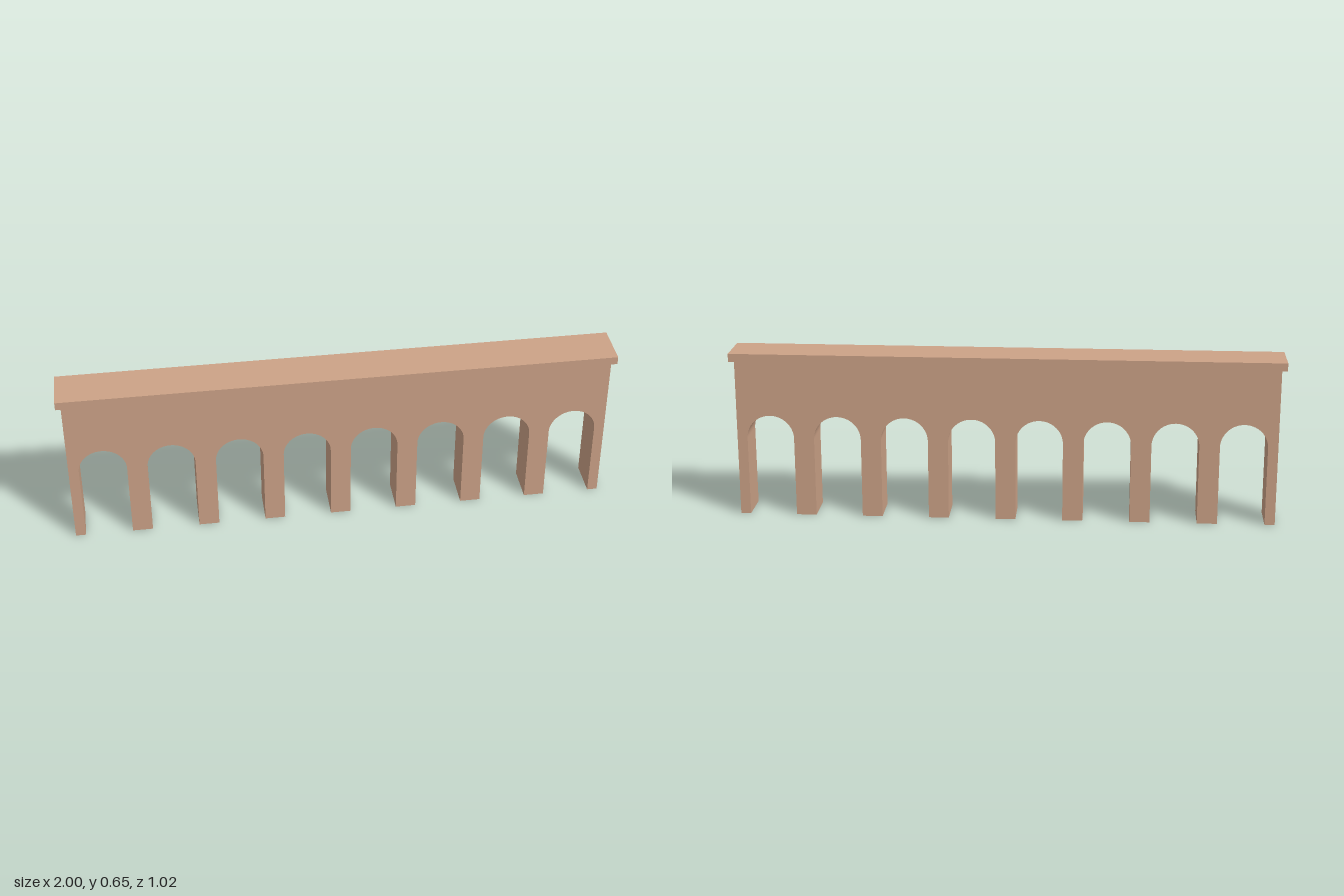
import * as THREE from 'three';

const BAYS = 8, LENGTH = 2.074, DEPTH = 0.142, HEIGHT = 0.616;
const BAY = LENGTH / BAYS, RADIUS = BAY * 0.35, SPRING = 0.4 - RADIUS;

// Wall outline: arched openings cut upward from the ground line
function arcadeShape() {
  const s = new THREE.Shape();
  s.moveTo(-LENGTH / 2, 0);
  for (let i = 0; i < BAYS; i++) {
    const cx = -LENGTH / 2 + BAY * (i + 0.5);
    s.lineTo(cx - RADIUS, 0);
    s.lineTo(cx - RADIUS, SPRING);
    s.absarc(cx, SPRING, RADIUS, Math.PI, 0, true);
    s.lineTo(cx + RADIUS, 0);
  }
  s.lineTo(LENGTH / 2, 0);
  s.lineTo(LENGTH / 2, HEIGHT);
  s.lineTo(-LENGTH / 2, HEIGHT);
  s.closePath();
  return s;
}

export function createModel() {
  const stone = new THREE.MeshStandardMaterial({ color: 0xcca287 });
  stone.name = 'sandstone';

  // Arcaded wall with its piers
  const wallGeo = new THREE.ExtrudeGeometry(arcadeShape(), {
    depth: DEPTH, bevelEnabled: false, curveSegments: 24,
  });
  wallGeo.translate(0, 0, -DEPTH / 2);
  const wall = new THREE.Mesh(wallGeo, stone);
  wall.name = 'arcadeWall';

  // Overhanging deck slab
  const deck = new THREE.Mesh(new THREE.BoxGeometry(2.113, 0.031, 0.17), stone);
  deck.name = 'deckSlab';
  deck.position.y = HEIGHT + 0.0155;

  // The whole viaduct runs diagonally across the ground
  const viaduct = new THREE.Group();
  viaduct.name = 'viaduct';
  viaduct.rotation.y = -THREE.MathUtils.degToRad(24.05);
  viaduct.add(wall, deck);

  const model = new THREE.Group();
  model.name = 'archedViaduct';
  model.add(viaduct);
  return model;
}
